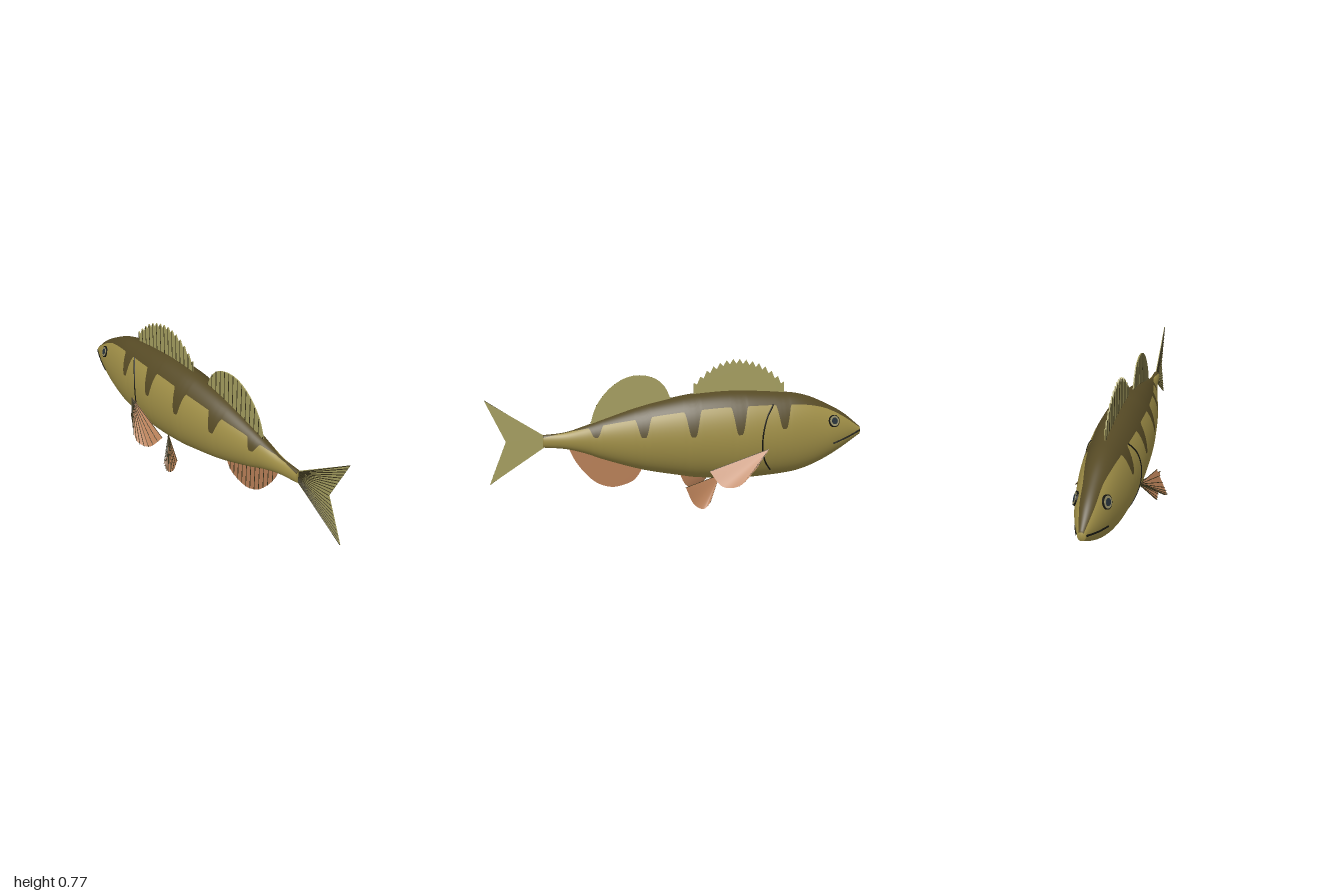
import * as THREE from 'three';
import { mergeGeometries } from 'three/addons/utils/BufferGeometryUtils.js';

const V = (x, y, z) => new THREE.Vector3(x, y, z);

// Smooth interpolation through [x, y] points
function curve(pts) {
  const slope = (i) => {
    const a = pts[Math.max(i - 1, 0)], b = pts[Math.min(i + 1, pts.length - 1)];
    return (b[1] - a[1]) / (b[0] - a[0]);
  };
  return (x) => {
    let i = 0;
    while (i < pts.length - 2 && x > pts[i + 1][0]) i++;
    const [x0, y0] = pts[i], [x1, y1] = pts[i + 1], h = x1 - x0;
    const t = THREE.MathUtils.clamp((x - x0) / h, 0, 1), t2 = t * t, t3 = t2 * t;
    return (2 * t3 - 3 * t2 + 1) * y0 + (t3 - 2 * t2 + t) * h * slope(i)
      + (3 * t2 - 2 * t3) * y1 + (t3 - t2) * h * slope(i + 1);
  };
}

// Body profiles along x
const X0 = -1, X1 = 0.715;
const topY = curve([[-1, 0.385], [-0.9, 0.465], [-0.8, 0.52], [-0.7, 0.563], [-0.6, 0.585], [-0.3, 0.604],
  [-0.1, 0.594], [0, 0.58], [0.2, 0.535], [0.4, 0.47], [0.5, 0.435], [0.6, 0.405], [0.715, 0.394]]);
const lowY = curve([[-1, 0.34], [-0.9, 0.27], [-0.8, 0.21], [-0.7, 0.165], [-0.6, 0.14], [-0.3, 0.118],
  [-0.1, 0.132], [0, 0.148], [0.2, 0.188], [0.4, 0.25], [0.5, 0.288], [0.6, 0.315], [0.715, 0.327]]);
const halfW = curve([[-1, 0.018], [-0.9, 0.058], [-0.8, 0.086], [-0.6, 0.122], [-0.4, 0.14], [-0.3, 0.143],
  [-0.1, 0.139], [0, 0.131], [0.2, 0.105], [0.4, 0.066], [0.5, 0.046], [0.6, 0.029], [0.715, 0.019]]);
const midY = (x) => (topY(x) + lowY(x)) / 2;
const halfH = (x) => (topY(x) - lowY(x)) / 2;
const sideZ = (x, y) => halfW(x) * Math.sqrt(Math.max(0, 1 - ((y - midY(x)) / halfH(x)) ** 2));

// Lower edge of the dark back, with bars [x, lowest y, half width]
const backEdge = curve([[-1, 0.38], [-0.9, 0.447], [-0.8, 0.498], [-0.7, 0.525], [-0.6, 0.535], [-0.4, 0.538],
  [-0.18, 0.532], [0.07, 0.505], [0.33, 0.46], [0.55, 0.415], [0.715, 0.383]]);
const BARS = [[-0.545, 0.415, 0.045], [-0.305, 0.395, 0.047], [-0.06, 0.39, 0.047], [0.195, 0.388, 0.045], [0.44, 0.385, 0.04]];
function backY(x) {
  let y = backEdge(x);
  const base = y;
  for (const [bx, by, w] of BARS) {
    const s = THREE.MathUtils.smoothstep(Math.abs(x - bx) / w, 0.2, 1);
    y = Math.min(y, base - (base - by) * (1 - s));
  }
  return y;
}

// Body skin as one ring grid, with separate material groups for sides and back
function bodyGeometry() {
  const COLS = 280, ND = 20, NL = 36, N = ND + NL, pos = [], side = [], back = [];
  for (let i = 0; i <= COLS; i++) {
    const x = X0 + (X1 - X0) * i / COLS, c = midY(x), h = halfH(x), w = halfW(x);
    const a0 = Math.asin(THREE.MathUtils.clamp((backY(x) - c) / h, -1, 0.97)), a1 = Math.PI - a0;
    for (let j = 0; j < N; j++) {
      const a = j < ND ? a0 + (a1 - a0) * j / ND : a1 + (2 * Math.PI + a0 - a1) * (j - ND) / NL;
      pos.push(x, c + h * Math.sin(a), w * Math.cos(a));
    }
  }
  for (let i = 0; i < COLS; i++) for (let j = 0; j < N; j++) {
    const a = i * N + j, b = i * N + (j + 1) % N;
    (j < ND ? back : side).push(a, a + N, b + N, a, b + N, b);
  }
  // closed ends
  const nose = pos.length / 3, end = nose + 1;
  pos.push(X0 - 0.003, midY(X0), 0, X1, midY(X1), 0);
  for (let j = 0; j < N; j++) {
    const k = (j + 1) % N;
    side.push(nose, j, k, end, COLS * N + k, COLS * N + j);
  }
  const g = new THREE.BufferGeometry();
  g.setAttribute('position', new THREE.Float32BufferAttribute(pos, 3));
  g.setIndex([...side, ...back]);
  g.addGroup(0, side.length, 0);
  g.addGroup(side.length, back.length, 1);
  g.computeVertexNormals();
  return g;
}

// Thin round rod from a to b
function rod(a, b, r = 0.0025) {
  const d = b.clone().sub(a), g = new THREE.CylinderGeometry(r, r, d.length(), 5);
  g.applyQuaternion(new THREE.Quaternion().setFromUnitVectors(V(0, 1, 0), d.normalize()));
  return g.translate((a.x + b.x) / 2, (a.y + b.y) / 2, (a.z + b.z) / 2);
}

function plate(points, depth) {
  const shape = new THREE.Shape(points.map(([x, y]) => new THREE.Vector2(x, y)));
  return new THREE.ExtrudeGeometry(shape, { depth, bevelEnabled: false }).translate(0, 0, -depth);
}

// Triangle fan from a root to a curved edge
function fanGeometry(root, edge) {
  const g = new THREE.BufferGeometry().setFromPoints([root, ...edge]), idx = [];
  for (let i = 1; i < edge.length; i++) idx.push(0, i, i + 1);
  g.setIndex(idx);
  g.computeVertexNormals();
  return g;
}

export function createModel() {
  const mat = (name, color, extra) => Object.assign(new THREE.MeshStandardMaterial({ color, ...extra }), { name });
  const olive = mat('olive side', 0xa08f47), dark = mat('dark back', 0x564a25);
  const finGreen = mat('olive fin', 0xa59e60);
  const finOrange = mat('orange fin', 0xb98058, { side: THREE.DoubleSide });
  const rayMat = mat('fin ray', 0x3a341c), line = mat('black line', 0x15150f);
  const iris = mat('iris', 0x97906a), pupil = mat('pupil', 0x27323a);
  const model = new THREE.Group();
  const add = (name, g, m) => {
    const mesh = new THREE.Mesh(g, m);
    mesh.name = name;
    model.add(mesh);
    return mesh;
  };
  add('body', bodyGeometry(), [olive, dark]);

  // Upright fins: outer edge against the body outline, with vertical rays on one face
  function uprightFin(name, outer, x0, x1, steps, base, material, rays, spike = 0) {
    const pts = [], rods = [];
    for (let i = 0; i <= steps; i++) {
      const x = x0 + (x1 - x0) * i / steps;
      pts.push([x, outer(x) - (i % 2 ? spike : 0)]);
    }
    for (let i = steps; i >= 0; i--) {
      const x = x0 + (x1 - x0) * i / steps;
      pts.push([x, base(x)]);
    }
    add(name, plate(pts, 0.006), material);
    for (let i = 0; i <= rays; i++) {
      const x = x0 + 0.003 + (x1 - x0 - 0.006) * i / rays;
      rods.push(rod(V(x, base(x), 0), V(x, outer(x) - spike * 0.3, 0)));
    }
    add(name + 'Rays', mergeGeometries(rods), rayMat);
  }
  const above = (x) => topY(x) - 0.02, below = (x) => lowY(x) + 0.02;
  uprightFin('spinyDorsalFin', curve([[-0.565, 0.645], [-0.47, 0.722], [-0.4, 0.755], [-0.31, 0.772], [-0.24, 0.762],
    [-0.16, 0.722], [-0.078, 0.65]]), -0.565, -0.078, 28, above, finGreen, 14, 0.026);
  uprightFin('softDorsalFin', curve([[0.045, 0.568], [0.07, 0.625], [0.12, 0.675], [0.2, 0.697], [0.28, 0.685], [0.36, 0.635],
    [0.42, 0.565], [0.45, 0.505], [0.467, 0.445]]), 0.045, 0.467, 40, above, finGreen, 13);
  uprightFin('analFin', curve([[0.2, 0.195], [0.215, 0.165], [0.25, 0.125], [0.34, 0.096], [0.4, 0.103], [0.46, 0.135],
    [0.52, 0.2], [0.56, 0.262], [0.582, 0.315]]), 0.2, 0.582, 40, below, finOrange, 12);

  // Forked tail with fanned rays
  const up = V(1, 0.585, 0), notch = V(0.905, 0.365, 0), down = V(1, 0.135, 0);
  add('tailFin', plate([[0.7, 0.385], [0.7, 0.335], [down.x, down.y], [notch.x, notch.y], [up.x, up.y]], 0.004), finGreen);
  const tailRays = [];
  for (let i = 0; i <= 20; i++) {
    const t = i / 10, tip = t < 1 ? up.clone().lerp(notch, t) : notch.clone().lerp(down, t - 1);
    tailRays.push(rod(V(0.71, 0.385 - 0.025 * t, 0), tip, 0.0022));
  }
  add('tailRays', mergeGeometries(tailRays), rayMat);

  // Paired fins, gill lines, mouth and eyes on both sides
  const PAIRED = {
    PectoralFin: [[-0.46, 0.31, 0.135], [-0.38, 0.228, 0.2], [-0.28, 0.15, 0.24], [-0.2, 0.142, 0.215], [-0.14, 0.21, 0.163]],
    PelvicFin: [[-0.21, 0.157, 0.07], [-0.145, 0.032, 0.153], [-0.11, 0.003, 0.16], [-0.06, 0.03, 0.16], [-0.015, 0.125, 0.16]],
  };
  for (const s of [1, -1]) {
    const label = s > 0 ? 'left' : 'right';
    for (const [name, pts] of Object.entries(PAIRED)) {
      const [root, ...rim] = pts.map(([x, y, z]) => V(x, y, z * s));
      const edge = new THREE.CatmullRomCurve3(rim).getPoints(18);
      add(label + name, fanGeometry(root, edge), finOrange);
      const lift = V(0, 0, 0.003);
      const rods = edge.filter((p, i) => i % 2 === 0).map((p) => rod(root.clone().add(lift), p.clone().add(lift), 0.0018));
      add(label + name + 'Rays', mergeGeometries(rods), rayMat);
    }
    const trace = (name, pts, r) => {
      const path = new THREE.CatmullRomCurve3(pts.map(([x, y]) => V(x, y, 0))).getPoints(24);
      path.forEach((p) => { p.z = s * sideZ(p.x, p.y); });
      add(label + name, new THREE.TubeGeometry(new THREE.CatmullRomCurve3(path), 48, r, 6), line);
    };
    trace('GillLine', [[-0.488, 0.54], [-0.45, 0.48], [-0.428, 0.4], [-0.425, 0.32], [-0.445, 0.24], [-0.482, 0.182]], 0.004);
    trace('Mouth', [[-0.997, 0.366], [-0.92, 0.338], [-0.83, 0.31]], 0.005);

    // eye discs laid on the cheek
    const ex = -0.83, ey = 0.435, e = 0.01;
    const normal = V((sideZ(ex - e, ey) - sideZ(ex + e, ey)) / (2 * e), (sideZ(ex, ey - e) - sideZ(ex, ey + e)) / (2 * e), 1).normalize();
    normal.z *= s;
    const eye = new THREE.Group();
    eye.name = label + 'Eye';
    eye.position.set(ex, ey, s * sideZ(ex, ey));
    eye.quaternion.setFromUnitVectors(V(0, 1, 0), normal);
    for (const [name, r, h, m] of [['eyeRim', 0.033, 0.012, line], ['iris', 0.028, 0.016, iris], ['pupil', 0.018, 0.02, pupil]]) {
      const disc = new THREE.Mesh(new THREE.CylinderGeometry(r, r, h, 28), m);
      disc.name = name;
      eye.add(disc);
    }
    model.add(eye);
  }
  return model;
}
